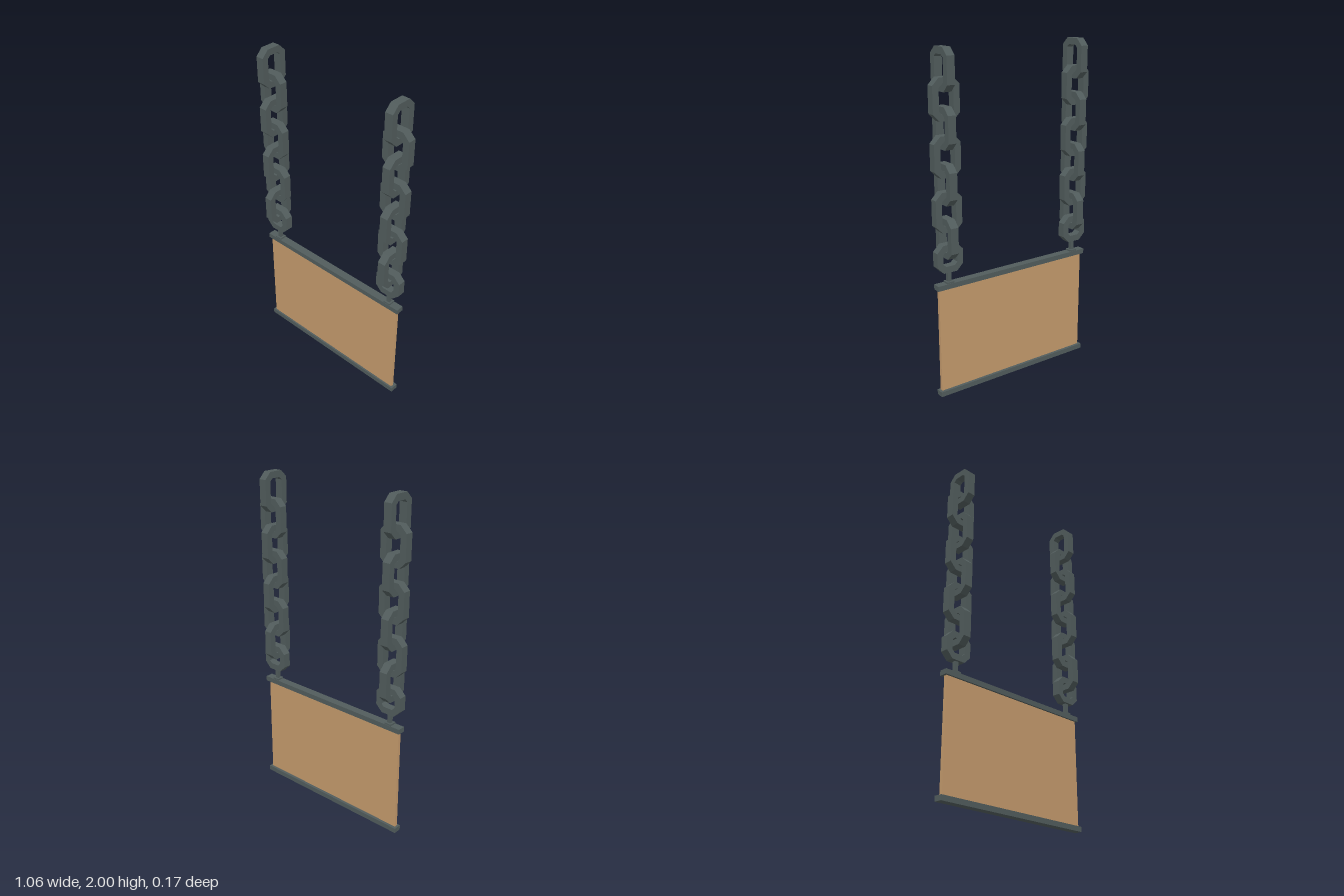
import * as THREE from 'three';

const iron = new THREE.MeshStandardMaterial({ color: 0x515c5c });
iron.name = 'darkIron';
const wood = new THREE.MeshStandardMaterial({ color: 0xc49a6c });
wood.name = 'lightWood';

const THICK = 0.048; // depth of links and rails
const BACK = -0.006; // board and front-facing links sit slightly back

// Rectangle with cut corners, as a list of points
function octagon(w, h, cut) {
  const x = w / 2, y = h / 2;
  return [
    [x - cut, -y], [x, cut - y], [x, y - cut], [x - cut, y],
    [cut - x, y], [-x, y - cut], [-x, cut - y], [cut - x, -y],
  ].map(([a, b]) => new THREE.Vector2(a, b));
}

// Flat chain link with an octagonal opening
function linkGeometry(height) {
  const width = 0.165, bar = 0.038;
  const shape = new THREE.Shape(octagon(width, height, 0.04));
  shape.holes.push(new THREE.Path(octagon(width - 2 * bar, height - 2 * bar, 0.016)));
  return new THREE.ExtrudeGeometry(shape, { depth: THICK, bevelEnabled: false })
    .translate(0, 0, -THICK / 2);
}

function add(parent, name, geometry, material, x, y, z) {
  const mesh = new THREE.Mesh(geometry, material);
  mesh.name = name;
  mesh.position.set(x, y, z);
  parent.add(mesh);
  return mesh;
}

export function createModel() {
  const model = new THREE.Group();
  model.name = 'hangingSign';

  // Board held between two rails
  add(model, 'board', new THREE.BoxGeometry(1.03, 0.64, 0.02), wood, 0, 0.348, -0.003);
  const rail = new THREE.BoxGeometry(1.058, 0.03, THICK);
  add(model, 'bottomRail', rail, iron, 0, 0.015, BACK);
  add(model, 'topRail', rail, iron, 0, 0.68, BACK);

  // Matching chains, links alternating by a quarter turn
  const longLink = linkGeometry(0.23);
  const endLink = linkGeometry(0.165);
  for (const side of [-1, 1]) {
    const chain = new THREE.Group();
    chain.name = side > 0 ? 'leftChain' : 'rightChain';
    chain.position.x = side * 0.447;
    model.add(chain);
    for (let i = 0; i < 7; i++) {
      const turned = i % 2 === 0;
      const link = add(chain, 'link', longLink, iron, 0, 1.885 - i * 0.154, turned ? 0 : BACK);
      if (turned) link.rotation.y = Math.PI / 2;
    }
    add(chain, 'endLink', endLink, iron, 0, 0.846, BACK);

    // Pin and foot joining the chain to the rail
    add(chain, 'pin', new THREE.BoxGeometry(0.022, 0.08, 0.022), iron, 0, 0.732, BACK);
    add(chain, 'pinFoot', new THREE.BoxGeometry(0.044, 0.014, 0.044), iron, 0, 0.698, BACK);
  }
  return model;
}
